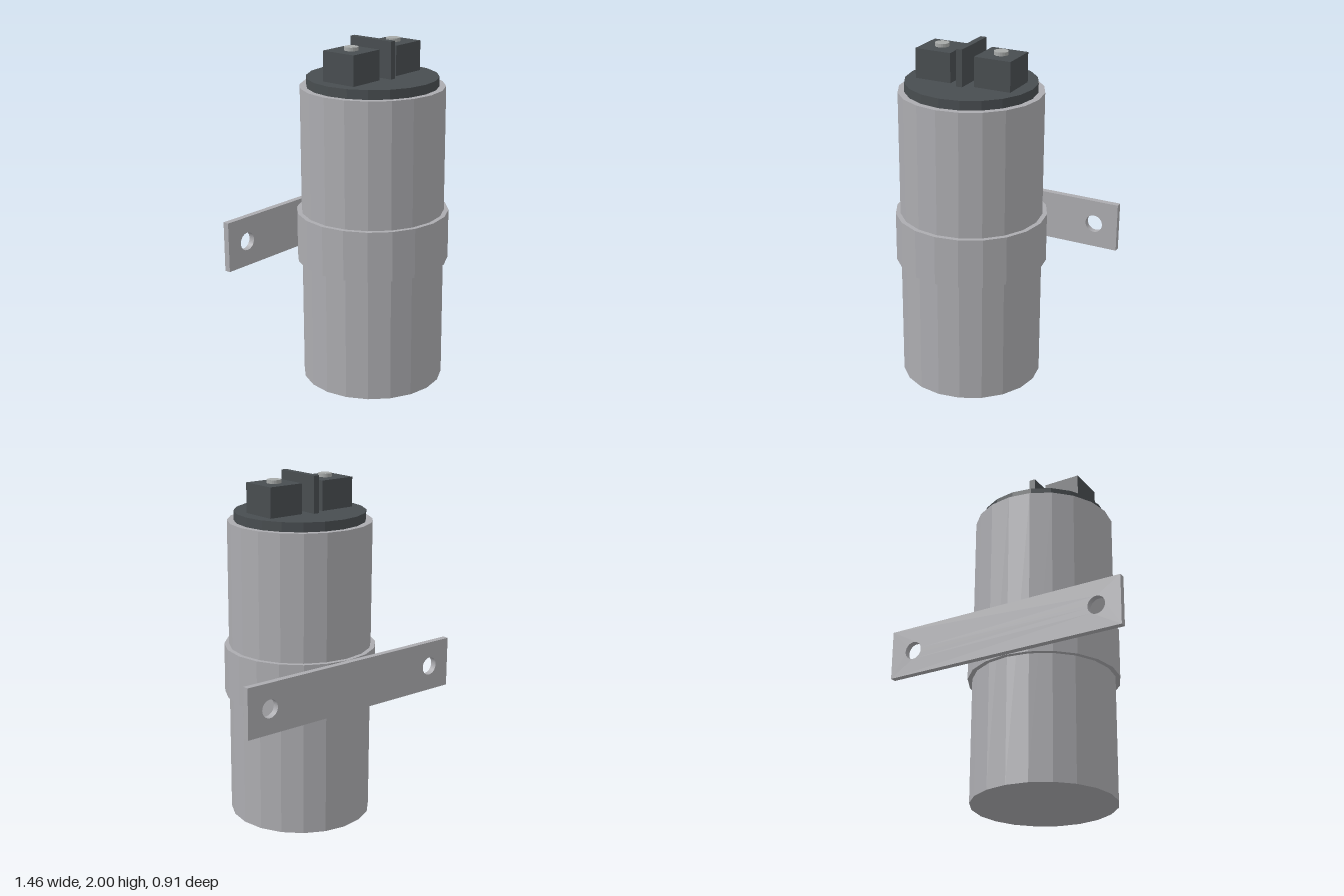
import * as THREE from 'three';

export function createModel() {
  const model = new THREE.Group();
  model.name = 'capacitor';
  const mat = (name, color) => {
    const m = new THREE.MeshStandardMaterial({ color, flatShading: true });
    m.name = name;
    return m;
  };
  const metal = mat('aluminium', 0xacacb0);
  const plastic = mat('dark plastic', 0x484d50);
  const steel = mat('terminal steel', 0xa6a9a8);
  const axisZ = 0.017; // the can sits slightly forward of centre, making room for the plate

  const add = (name, geometry, material, x, y, z) => {
    const mesh = new THREE.Mesh(geometry, material);
    mesh.name = name;
    mesh.position.set(x, y, z);
    model.add(mesh);
    return mesh;
  };
  // Upright cylinder between two heights
  const drum = (name, r, y0, y1, material, x = 0, sides = 20) =>
    add(name, new THREE.CylinderGeometry(r, r, y1 - y0, sides), material, x, (y0 + y1) / 2, axisZ);

  // Can, clamp band and lid
  drum('can', 0.41, 0, 1.737, metal);
  drum('clampBand', 0.437, 0.727, 1.015, metal);
  drum('lid', 0.373, 1.737, 1.79, plastic);

  // Terminal blocks with bolts
  for (const [side, s] of [['left', 1], ['right', -1]]) {
    add(side + 'TerminalBlock', new THREE.BoxGeometry(0.218, 0.17, 0.218), plastic, s * 0.182, 1.875, axisZ);
    drum(side + 'TerminalBolt', 0.04, 1.96, 1.98, steel, s * 0.182);
  }

  // Divider between the terminals
  add('divider', new THREE.BoxGeometry(0.036, 0.21, 0.29), plastic, 0, 1.895, axisZ);

  // Mounting plate with two bolt holes
  const w = 0.728, h = 0.144;
  const outline = new THREE.Shape([
    new THREE.Vector2(-w, -h), new THREE.Vector2(w, -h),
    new THREE.Vector2(w, h), new THREE.Vector2(-w, h),
  ]);
  for (const s of [-1, 1]) {
    outline.holes.push(new THREE.Path().absarc(s * 0.583, 0, 0.052, 0, Math.PI * 2, true));
  }
  add('mountingPlate',
    new THREE.ExtrudeGeometry(outline, { depth: 0.036, bevelEnabled: false, curveSegments: 20 }),
    metal, 0, 0.871, -0.457);

  return model;
}
